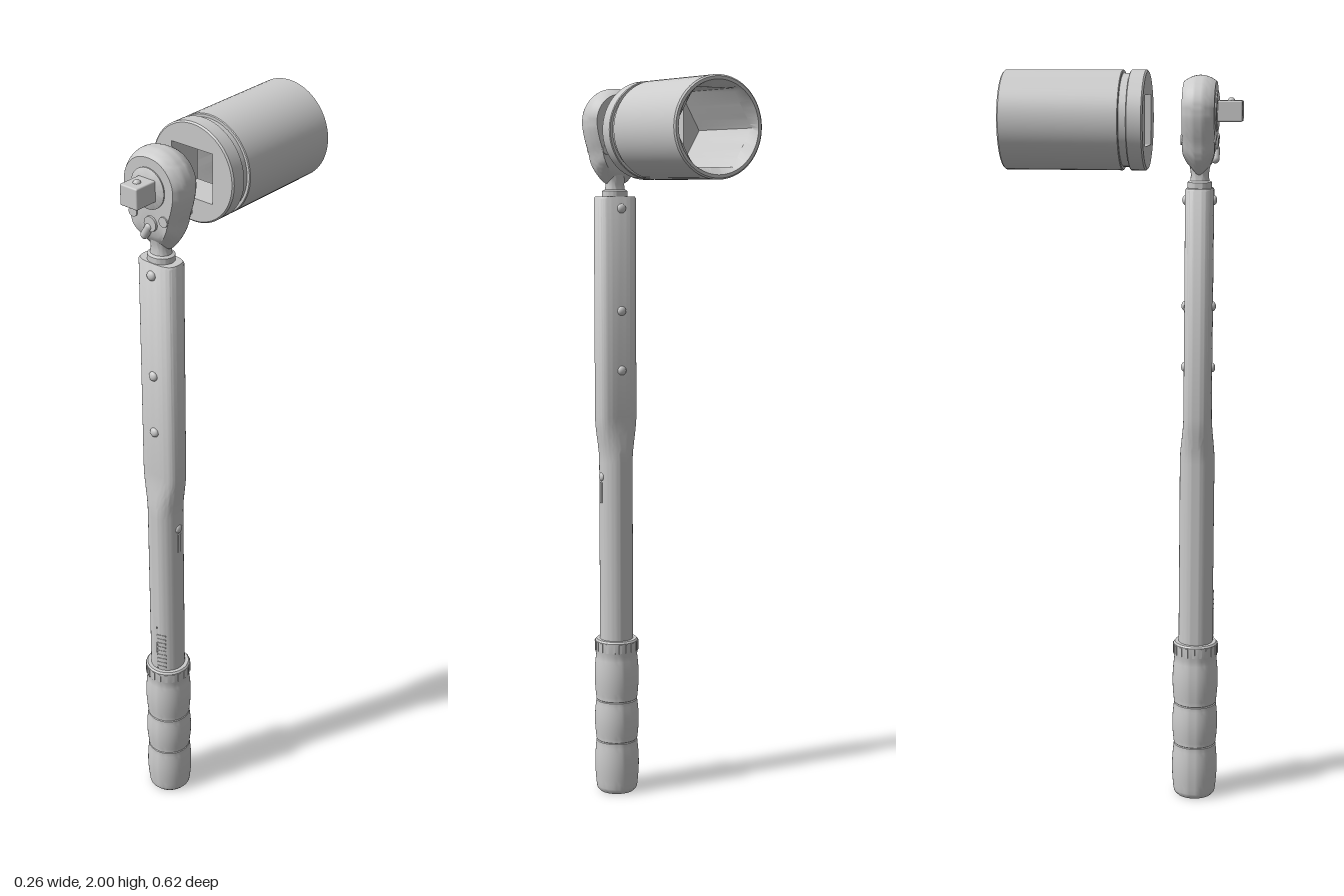
import * as THREE from 'three';
import { toCreasedNormals } from 'three/addons/utils/BufferGeometryUtils.js';
import { RoundedBoxGeometry } from 'three/addons/geometries/RoundedBoxGeometry.js';

const mat = new THREE.MeshStandardMaterial({ color: 0xcccccc });
const AX = 0.017, AZ = 0.2, HEAD_Y = 1.895; // wrench axis and head centre

function add(parent, name, geo, x = 0, y = 0, z = 0) {
  const m = new THREE.Mesh(geo, mat);
  m.name = name;
  m.position.set(x, y, z);
  parent.add(m);
  return m;
}

// Skin a list of closed rings, each an array of [x, y, z] points
function loft(rings, crease = 0.6) {
  const n = rings[0].length, idx = [];
  for (let i = 0; i < rings.length - 1; i++) {
    for (let j = 0; j < n; j++) {
      const a = i * n + j, b = i * n + (j + 1) % n;
      idx.push(a, b, b + n, a, b + n, a + n);
    }
  }
  const g = new THREE.BufferGeometry();
  g.setAttribute('position', new THREE.Float32BufferAttribute(rings.flat(2), 3));
  g.setIndex(idx);
  return toCreasedNormals(g, crease);
}

function lathe(pts, seg = 48) {
  const g = new THREE.LatheGeometry(pts.map(p => new THREE.Vector2(...p)), seg);
  return toCreasedNormals(g, 0.6);
}

// Ring around z: a circle, or a regular polygon with the given corner radius
function polyRing(sides, r, z, turn = 0) {
  return Array.from({ length: 72 }, (_, i) => {
    const a = i / 72 * Math.PI * 2;
    let d = r;
    if (sides) {
      const s = Math.PI * 2 / sides;
      const t = (((a - turn) % s) + s) % s - s / 2;
      d = r * Math.cos(s / 2) / Math.cos(t);
    }
    return [Math.cos(a) * d, Math.sin(a) * d, z];
  });
}

function buildSocket() {
  const c = (r, z) => polyRing(0, r, z);
  const sq = z => polyRing(4, 0.092, z, Math.PI / 4);
  const hex = z => polyRing(6, 0.113, z);
  return loft([
    c(0.117, -0.312), c(0.125, -0.312), c(0.129, -0.308), c(0.129, 0), c(0.127, 0.002), c(0.12, 0.002),
    c(0.12, 0.022), c(0.127, 0.022), c(0.129, 0.024), c(0.129, 0.061), c(0.125, 0.065),
    sq(0.065), sq(-0.03), hex(-0.03), hex(-0.285), c(0.117, -0.312),
  ]);
}

// Barrel-sided pear outline, thinning toward the neck
function buildHead() {
  const half = [[0, 0.092], [0.038, 0.085], [0.07, 0.062], [0.089, 0.028], [0.092, -0.008],
    [0.084, -0.05], [0.073, -0.085], [0.064, -0.12], [0.047, -0.147], [0.03, -0.162]];
  const pts = [...half, [0, -0.166], ...half.slice(1).reverse().map(([x, y]) => [-x, y])];
  const curve = new THREE.CatmullRomCurve3(pts.map(([x, y]) => new THREE.Vector3(x, y, 0)), true);
  const outline = curve.getPoints(80).slice(0, 80).reverse();
  const ring = (s, z) => outline.map(p => {
    const y = p.y * s;
    const thin = 0.5 + 0.5 * THREE.MathUtils.smoothstep(y, -0.165, -0.1);
    return [p.x * s, y, z * thin];
  });
  const rings = [], inner = [0.001, 0.3, 0.6, 0.75];
  inner.forEach(s => rings.push(ring(s, -0.042)));
  for (let i = 0; i <= 12; i++) {
    const u = i / 6 - 1;
    rings.push(ring(1 - 0.17 * u * u, u * 0.042));
  }
  inner.reverse().forEach(s => rings.push(ring(s, 0.042)));
  return loft(rings, 0.5);
}

// Flattened upper tube blending into a round lower tube
function buildBody() {
  const ring = (y, hx, hz, flat) => Array.from({ length: 64 }, (_, i) => {
    const a = i / 64 * Math.PI * 2, e = 1 - 0.35 * flat;
    const p = v => Math.sign(v) * Math.pow(Math.abs(v), e);
    return [p(Math.sin(a)) * hx, y, p(Math.cos(a)) * hz];
  });
  const rings = [ring(0.43, 0.001, 0.001, 0), ring(0.43, 0.047, 0.047, 0)];
  for (let i = 0; i <= 10; i++) {
    const t = i / 10, s = t * t * (3 - 2 * t);
    rings.push(ring(0.96 + 0.13 * t, 0.047 + 0.011 * s, 0.047 - 0.01 * s, s));
  }
  rings.push(ring(1.692, 0.058, 0.037, 1), ring(1.697, 0.055, 0.034, 1), ring(1.697, 0.001, 0.001, 1));
  return loft(rings);
}

function buildGrip() {
  const pts = [[0, 0.006], [0.036, 0.006], [0.036, 0], [0.05, 0], [0.057, 0.008]];
  const bulge = (y0, y1) => {
    for (let i = 0; i <= 10; i++) {
      pts.push([0.0585 + 0.0045 * Math.sin(Math.PI * i / 10), y0 + (y1 - y0) * i / 10]);
    }
  };
  bulge(0.015, 0.15);
  pts.push([0.056, 0.152]);
  bulge(0.154, 0.27);
  pts.push([0.056, 0.272]);
  bulge(0.274, 0.405);
  pts.push([0.061, 0.415], [0.061, 0.445], [0.057, 0.45], [0.046, 0.45]);
  return lathe(pts);
}

export function createModel() {
  const model = new THREE.Group();
  model.name = 'torqueWrenchAndSocket';

  add(model, 'socket', buildSocket(), 0, 1.871, 0);

  const wrench = new THREE.Group();
  wrench.name = 'wrench';
  wrench.position.set(AX, 0, AZ);
  model.add(wrench);
  add(wrench, 'body', buildBody());
  add(wrench, 'grip', buildGrip());

  // Neck with a collar at the body
  add(wrench, 'neck', lathe([[0, 1.69], [0.036, 1.69], [0.036, 1.712], [0.028, 1.716], [0.026, 1.73],
    [0.028, 1.745], [0.033, 1.765], [0, 1.775]])).scale.z = 0.9;

  // Ratchet head
  const head = new THREE.Group();
  head.name = 'ratchetHead';
  head.position.y = HEAD_Y;
  wrench.add(head);
  add(head, 'headShell', buildHead());
  add(head, 'drivePlate', lathe([[0, 0], [0.052, 0], [0.052, 0.004], [0.049, 0.006], [0, 0.006]]), 0, 0, 0.041)
    .rotation.x = Math.PI / 2;
  add(head, 'squareDrive', new RoundedBoxGeometry(0.054, 0.054, 0.08, 3, 0.004), 0, 0, 0.071);
  add(head, 'detentBall', new THREE.SphereGeometry(0.01, 20, 14), 0, 0.025, 0.08);
  for (const s of [-1, 1]) {
    for (const z of [-0.042, 0.042]) {
      add(head, 'headScrew', new THREE.CylinderGeometry(0.013, 0.013, 0.008, 24), s * 0.048, -0.072, z)
        .rotation.x = Math.PI / 2;
    }
  }

  // Reversing lever
  const lever = new THREE.Group();
  lever.name = 'reversingLever';
  lever.position.set(0, -0.1, 0.04);
  lever.rotation.z = -0.55;
  head.add(lever);
  add(lever, 'leverPivot', new THREE.CylinderGeometry(0.019, 0.021, 0.014, 32), 0, 0.014, 0).rotation.x = Math.PI / 2;
  add(lever, 'leverTab', new THREE.CapsuleGeometry(0.011, 0.03, 6, 20), 0, -0.012, 0.001);

  // Rivets on both faces of the body
  for (const y of [1.665, 1.385, 1.22]) {
    for (const s of [-1, 1]) {
      add(wrench, 'rivet', new THREE.SphereGeometry(0.013, 20, 12), 0, y, s * 0.037).scale.z = 0.7;
    }
  }

  // Engraved scale standing slightly proud of the lower tube
  const scale = new THREE.Group();
  scale.name = 'scale';
  scale.rotation.y = 0.35;
  wrench.add(scale);
  for (let i = 0; i < 9; i++) {
    add(scale, 'scaleTick', new THREE.BoxGeometry(0.026, 0.004, 0.005), 0, 0.462 + i * 0.0135, 0.0455);
  }
  add(scale, 'scaleLine', new THREE.BoxGeometry(0.003, 0.145, 0.004), -0.013, 0.525, 0.045);

  // Small indicator on the left side of the tube
  add(wrench, 'indicatorButton', new THREE.SphereGeometry(0.012, 20, 12), 0.046, 0.92, 0).scale.x = 0.5;
  add(wrench, 'indicatorStrip', new RoundedBoxGeometry(0.006, 0.06, 0.012, 2, 0.002), 0.046, 0.875, 0);

  // Raised teeth around the grip collar
  for (let i = 0; i < 20; i++) {
    const a = i / 20 * Math.PI * 2;
    add(wrench, 'collarTooth', new THREE.BoxGeometry(0.008, 0.026, 0.005),
      Math.sin(a) * 0.06, 0.43, Math.cos(a) * 0.06).rotation.y = a;
  }
  return model;
}
